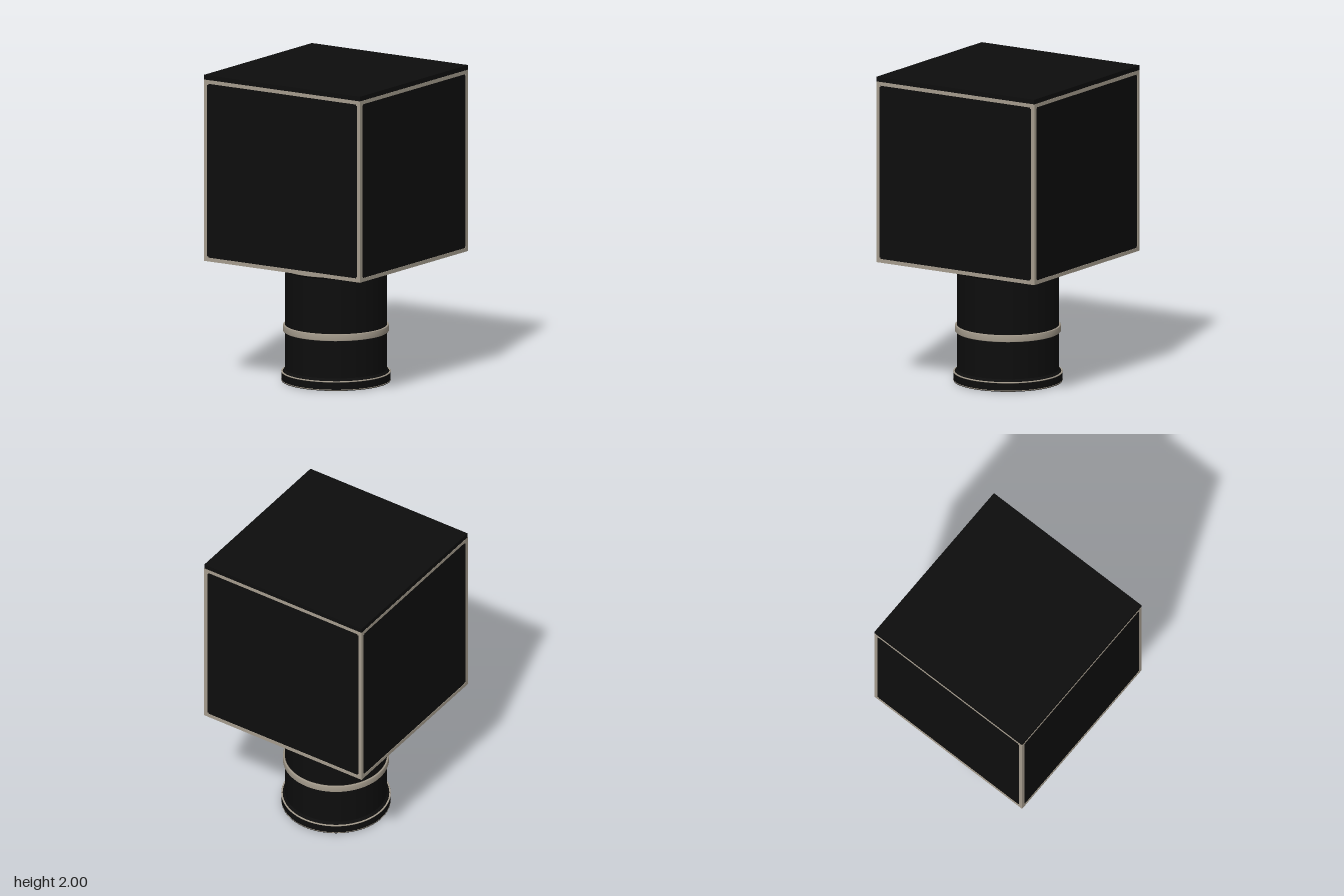
import * as THREE from 'three';

export function createModel() {
  const black = new THREE.MeshStandardMaterial({ color: 0x0d0d0d });
  black.name = 'matte black';
  const tubeBlack = new THREE.MeshStandardMaterial({ color: 0x0d0d0d, side: THREE.DoubleSide });
  tubeBlack.name = 'tube black';
  const trim = new THREE.MeshStandardMaterial({ color: 0xa69d8e });
  trim.name = 'warm grey trim';

  const model = new THREE.Group();
  model.name = 'cubeLamp';

  const add = (name, geometry, material, x = 0, y = 0, z = 0) => {
    const mesh = new THREE.Mesh(geometry, material);
    mesh.name = name;
    mesh.position.set(x, y, z);
    model.add(mesh);
    return mesh;
  };
  const box = (name, w, h, d, material, x, y, z) =>
    add(name, new THREE.BoxGeometry(w, h, d), material, x, y, z);

  // Closed ring of rectangular section
  const ring = (name, inner, outer, y0, y1, material) => {
    const c = Math.min(0.004, (y1 - y0) / 4, (outer - inner) / 4);
    const profile = [
      [inner, y0], [outer - c, y0], [outer, y0 + c], [outer, y1 - c],
      [outer - c, y1], [inner, y1], [inner, y0],
    ].map(([r, y]) => new THREE.Vector2(r, y));
    add(name, new THREE.LatheGeometry(profile, 64), material);
  };

  // Cube head: dark panels just inside a thin frame
  const half = 0.6, bottom = 0.8, top = 1.97, bar = 0.024;
  const mid = (bottom + top) / 2, tall = top - bottom;
  box('headPanels', 1.194, tall - 0.006, 1.194, black, 0, mid, 0);
  box('topCap', 1.198, 2 - top, 1.198, black, 0, (top + 2) / 2, 0);

  const edge = half - bar / 2;
  for (const s of [-1, 1]) {
    for (const t of [-1, 1]) {
      box('cornerPost', bar, tall, bar, trim, s * edge, mid, t * edge);
      // Small blocks where the frame bars meet
      for (const y of [bottom + 0.016, top - 0.016]) {
        box('cornerBlock', 0.032, 0.032, 0.032, trim, s * (half - 0.016), y, t * (half - 0.016));
      }
    }
    for (const y of [bottom + bar / 2, top - bar / 2]) {
      box('frameBarX', 2 * half - 2 * bar, bar, bar, trim, 0, y, s * edge);
      box('frameBarZ', bar, bar, 2 * half - 2 * bar, trim, s * edge, y, 0);
    }
  }

  // Hollow neck with a flared collar at each end
  const neck = [
    [0.318, 0.8], [0.318, 0], [0.345, 0], [0.345, 0.052], [0.323, 0.076],
    [0.323, 0.715], [0.345, 0.738], [0.345, 0.8],
  ];
  // Doubled corner points keep the edges crisp
  for (let i = 0; i < neck.length - 1; i++) {
    const points = [neck[i], neck[i + 1]].map(([r, y]) => new THREE.Vector2(r, y));
    add('neckTube', new THREE.LatheGeometry(points, 64), tubeBlack);
  }

  // Trim bands
  ring('middleBand', 0.315, 0.335, 0.318, 0.362, trim);
  ring('lowerCollarLine', 0.33, 0.346, 0.054, 0.061, trim);
  ring('footLine', 0.33, 0.346, 0.003, 0.008, trim);
  ring('upperCollarLine', 0.33, 0.346, 0.729, 0.737, trim);

  return model;
}
